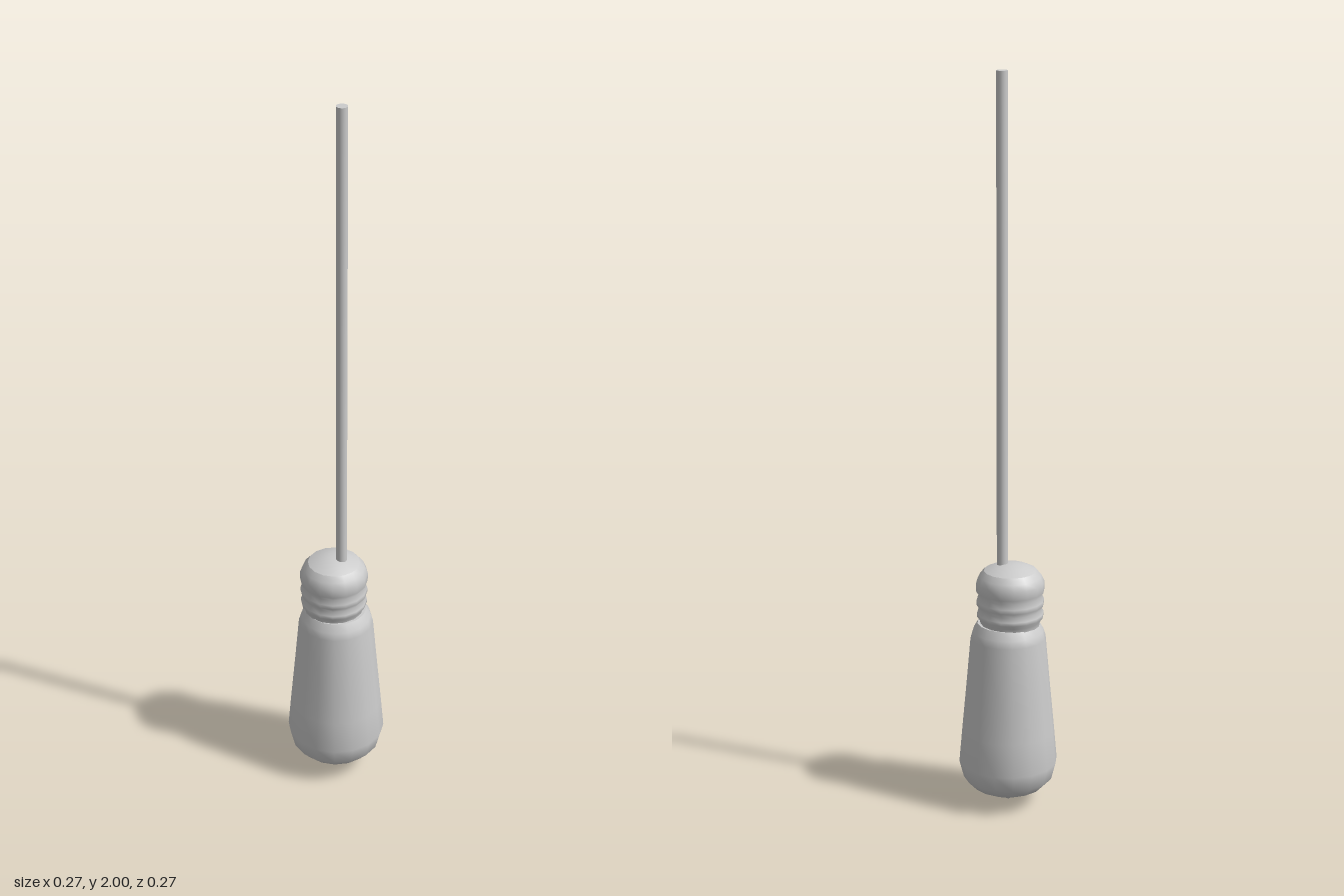
import * as THREE from 'three';

const material = new THREE.MeshStandardMaterial({ color: 0xcccccc });

// Revolve a bottom-to-top profile of [radius, height] pairs.
function turned(name, profile, x = 0) {
  const points = profile.map(([r, y]) => new THREE.Vector2(r, y));
  const mesh = new THREE.Mesh(new THREE.LatheGeometry(points, 16), material);
  mesh.name = name;
  mesh.position.x = x;
  return mesh;
}

export function createModel() {
  const group = new THREE.Group();
  group.name = 'hangingBulb';
  const socketX = -0.006;

  // Tapered glass with a pointed tip
  group.add(turned('glassBulb', [
    [0, 0.008], [0.022, 0.022], [0.06, 0.038], [0.097, 0.056], [0.122, 0.082],
    [0.134, 0.128], [0.126, 0.22], [0.113, 0.36], [0.102, 0.485],
    [0.096, 0.505], [0.083, 0.527],
  ]));
  group.add(turned('glassNeck', [[0.083, 0.527], [0, 0.527]]));

  // Ribbed socket, closed by a shallow dome
  group.add(turned('socketThread', [
    [0.08, 0.522], [0.082, 0.535], [0.09, 0.546], [0.09, 0.556], [0.084, 0.568],
    [0.091, 0.58], [0.091, 0.592], [0.085, 0.606], [0.092, 0.618],
    [0.092, 0.642], [0.084, 0.66], [0.071, 0.675],
  ], socketX));
  group.add(turned('socketCap', [[0.071, 0.675], [0.045, 0.687], [0.018, 0.693], [0, 0.693]], socketX));

  // Slightly off-centre cord
  const cord = new THREE.Mesh(new THREE.CylinderGeometry(0.015, 0.015, 1.32, 16), material);
  cord.name = 'cord';
  cord.position.set(0.016, 1.34, 0);
  group.add(cord);

  // Stand the tip on the ground
  group.children.forEach((part) => { if (part !== cord) part.position.y -= 0.004; });
  group.children[0].geometry.attributes.position.needsUpdate = true;
  return group;
}
